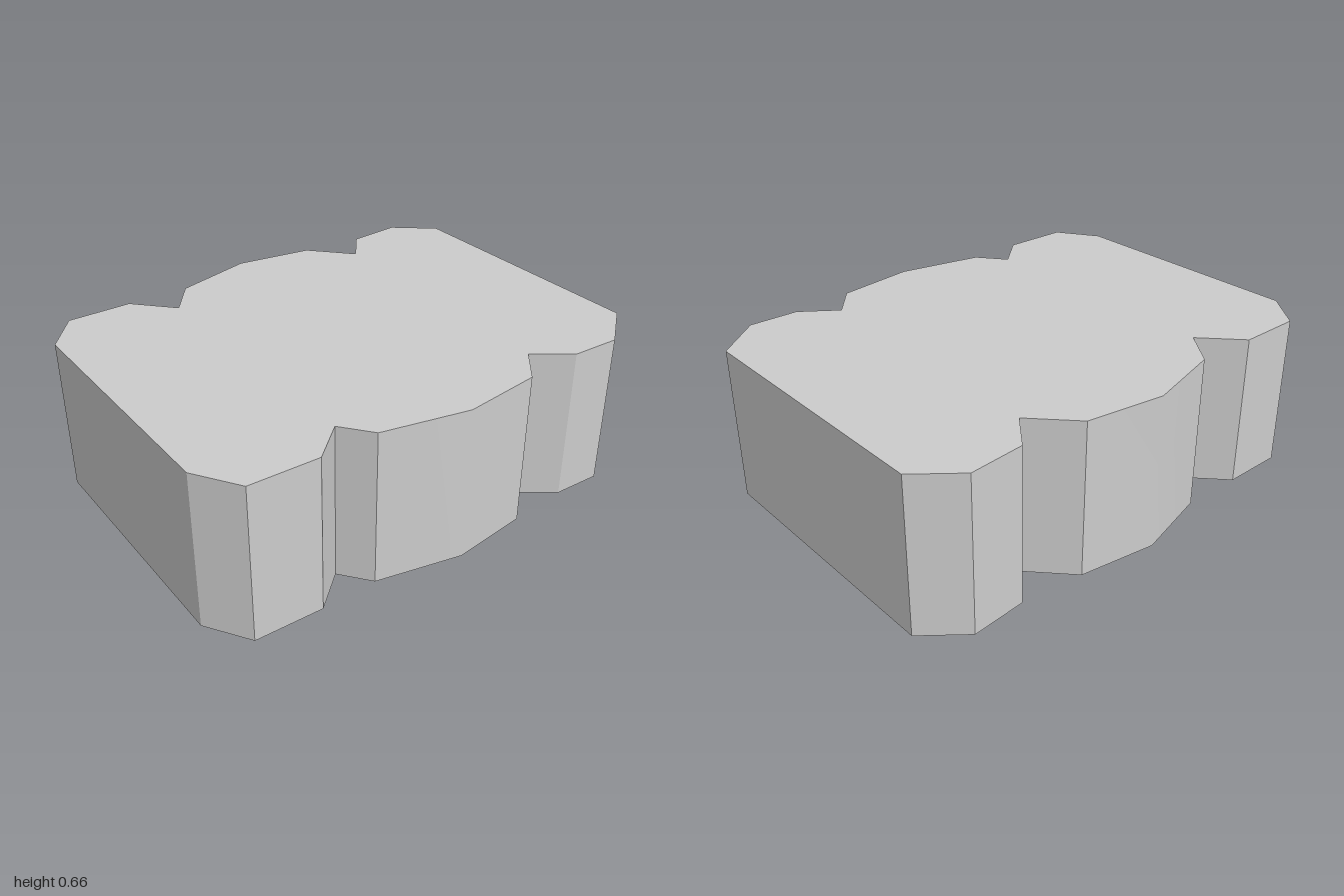
import * as THREE from 'three';
import { toCreasedNormals } from 'three/addons/utils/BufferGeometryUtils.js';

const HEIGHT = 0.66;

// Notched outline seen from above, as [x, z] corners
const frontEdge = [
  [-1, 0.53], [-0.885, 0.705], [-0.6, 0.712], [-0.455, 0.585], [-0.36, 0.705],
  [0, 0.782], [0.335, 0.74], [0.45, 0.603], [0.6, 0.713], [0.81, 0.72], [1, 0.565],
];
const backEdge = [
  [1, -0.592], [0.832, -0.73], [0.6, -0.712], [0.49, -0.57], [0.33, -0.74],
  [0, -0.79], [-0.335, -0.7], [-0.45, -0.547], [-0.6, -0.706], [-0.87, -0.706], [-1, -0.54],
];

export function createModel() {
  const group = new THREE.Group();
  group.name = 'notchedBlock';

  // Outline extruded upward; only the shallow bow at the middle is shaded smooth
  const outline = [...frontEdge, ...backEdge].map(([x, z]) => new THREE.Vector2(x, -z));
  const solid = new THREE.ExtrudeGeometry(new THREE.Shape(outline), { depth: HEIGHT, bevelEnabled: false });
  solid.rotateX(-Math.PI / 2);

  const block = new THREE.Mesh(
    toCreasedNormals(solid, THREE.MathUtils.degToRad(28)),
    new THREE.MeshStandardMaterial({ color: 0xcccccc }),
  );
  block.name = 'block';
  group.add(block);
  return group;
}
